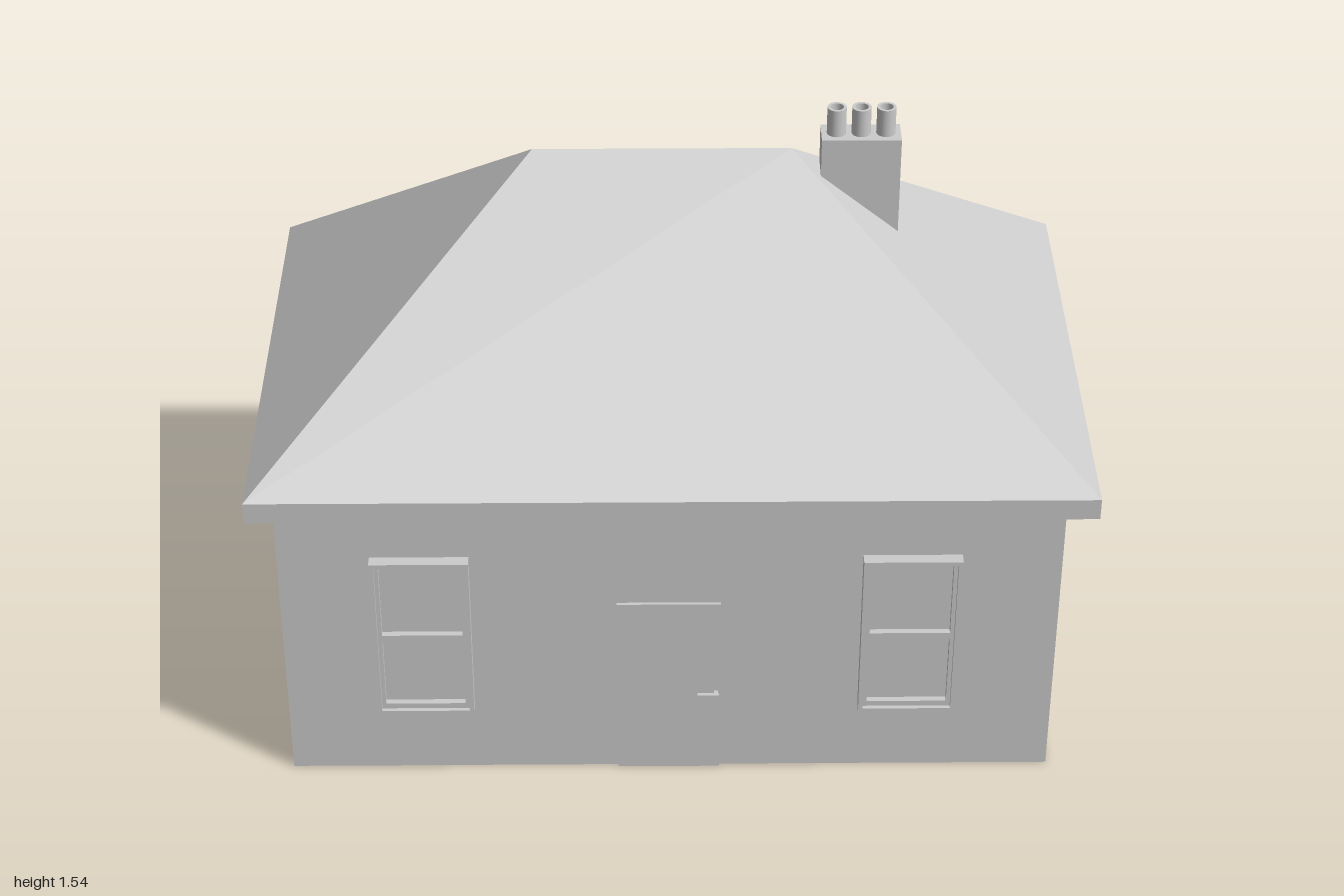
import * as THREE from 'three';

const grey = new THREE.MeshStandardMaterial({ color: 0xcccccc, flatShading: true });
const smooth = new THREE.MeshStandardMaterial({ color: 0xcccccc });

function add(parent, name, geometry, material = grey) {
  const mesh = new THREE.Mesh(geometry, material);
  mesh.name = name;
  parent.add(mesh);
  return mesh;
}

// Box given by its limits along each axis
function box(parent, name, [x0, x1], [y0, y1], [z0, z1]) {
  const mesh = add(parent, name, new THREE.BoxGeometry(x1 - x0, y1 - y0, z1 - z0));
  mesh.position.set((x0 + x1) / 2, (y0 + y1) / 2, (z0 + z1) / 2);
  return mesh;
}

function rectangle(Type, x0, x1, y0, y1) {
  return new Type([[x0, y0], [x1, y0], [x1, y1], [x0, y1]].map(([x, y]) => new THREE.Vector2(x, y)));
}

// Flat board with rectangular openings
function board(parent, name, outer, openings, depth) {
  const shape = rectangle(THREE.Shape, ...outer);
  shape.holes = openings.map((o) => rectangle(THREE.Path, ...o));
  return add(parent, name, new THREE.ExtrudeGeometry(shape, { depth, bevelEnabled: false }));
}

// Sash window facing +z, standing on its own origin
function sashWindow(name, depth) {
  const w = 0.118, h = 0.46, rim = 0.011, stile = 0.021, mid = 0.238;
  const group = new THREE.Group();
  group.name = name;
  board(group, 'casing', [-w, w, 0, h], [[-w + rim, w - rim, rim, h - rim]], depth);
  const lower = [-w + stile, w - stile, stile + 0.005, mid - 0.018];
  const upper = [-w + stile, w - stile, mid, h - stile];
  board(group, 'sashes', [-w + rim, w - rim, rim, h - rim], [lower, upper], depth * 0.65);
  box(group, 'glass', [-w + rim, w - rim], [rim, h - rim], [0, 0.004]);
  return group;
}

export function createModel() {
  const house = new THREE.Group();
  house.name = 'house';

  // Walls and eaves
  box(house, 'walls', [-0.94, 0.93], [0, 0.8], [-0.55, 0.56]);
  box(house, 'eaves', [-1, 1], [0.795, 0.85], [-0.616, 0.616]);

  // Hipped roof: four eave corners and two ridge ends
  const roof = new THREE.BufferGeometry();
  roof.setAttribute('position', new THREE.Float32BufferAttribute([
    -1, 0.85, 0.616, 1, 0.85, 0.616, 1, 0.85, -0.616, -1, 0.85, -0.616,
    -0.33, 1.43, -0.02, 0.29, 1.43, -0.02,
  ], 3));
  roof.setIndex([0, 1, 5, 0, 5, 4, 1, 2, 5, 2, 3, 4, 2, 4, 5, 3, 0, 4]);
  const flatRoof = roof.toNonIndexed();
  flatRoof.computeVertexNormals();
  add(house, 'roof', flatRoof);

  // Chimney stack with three hollow pots
  box(house, 'chimneyStack', [0.36, 0.55], [1.15, 1.47], [-0.062, 0.015]);
  const wall = [[0.023, 0], [0.023, 0.07], [0.016, 0.07], [0.016, 0.005], [0, 0.005]];
  for (const x of [0.396, 0.455, 0.514]) {
    const pot = new THREE.Group();
    pot.name = 'chimneyPot';
    pot.position.set(x, 1.47, -0.0235);
    // Each straight run is its own surface so the rims stay sharp
    for (let i = 0; i < wall.length - 1; i++) {
      const run = [wall[i], wall[i + 1]].map(([r, y]) => new THREE.Vector2(r, y));
      add(pot, 'potSurface', new THREE.LatheGeometry(run, 24), smooth);
    }
    house.add(pot);
  }

  // Windows: name, x, z, turn about y, depth
  const windows = [
    ['frontWindowRight', -0.602, 0.56, 0, 0.03],
    ['frontWindowLeft', 0.573, 0.56, 0, 0.03],
    ['sideWindowLeft', 0.93, 0.003, Math.PI / 2, 0.04],
    ['sideWindowRight', -0.94, 0.003, -Math.PI / 2, 0.03],
    ['backWindowInner', -0.292, -0.55, Math.PI, 0.027],
    ['backWindowOuter', -0.528, -0.55, Math.PI, 0.027],
  ];
  for (const [name, x, z, turn, depth] of windows) {
    const win = sashWindow(name, depth);
    win.position.set(x, 0.19, z);
    win.rotation.y = turn;
    house.add(win);
  }

  // Front door with lever handle
  box(house, 'door', [-0.133, 0.117], [0, 0.51], [0.55, 0.568]);
  box(house, 'handleStem', [0.102, 0.112], [0.233, 0.243], [0.565, 0.585]);
  box(house, 'handleLever', [0.062, 0.114], [0.233, 0.243], [0.578, 0.587]);

  return house;
}
